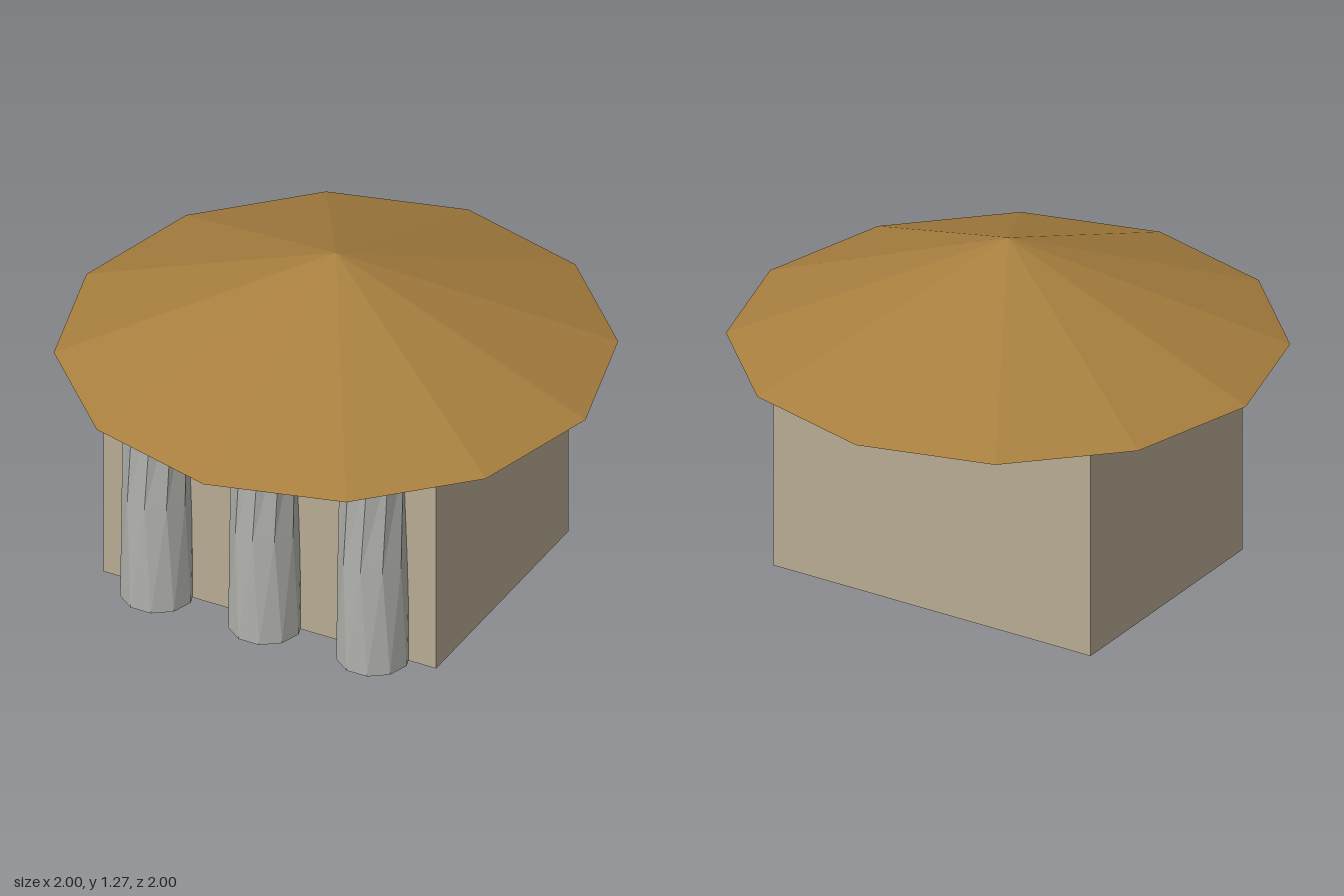
import * as THREE from 'three';

const WALL_H = 0.867;

function material(color) {
  return new THREE.MeshStandardMaterial({ color, flatShading: true });
}

// Ten-sided tapered column, twisted slightly at mid height
function columnGeometry() {
  const geo = new THREE.CylinderGeometry(0.12, 0.1333, WALL_H, 10, 2);
  geo.rotateY(Math.PI / 2); // put corners on the x axis
  const pos = geo.attributes.position;
  const v = new THREE.Vector3();
  const up = new THREE.Vector3(0, 1, 0);
  for (let i = 0; i < pos.count; i++) {
    v.fromBufferAttribute(pos, i);
    const t = v.y / WALL_H + 0.5;
    v.applyAxisAngle(up, -0.2 * Math.sin(Math.PI * t));
    pos.setXYZ(i, v.x, v.y, v.z);
  }
  geo.computeVertexNormals();
  return geo;
}

export function createModel() {
  const model = new THREE.Group();
  model.name = 'hut';

  const add = (name, geometry, mat, x, y, z) => {
    const mesh = new THREE.Mesh(geometry, mat);
    mesh.name = name;
    mesh.position.set(x, y, z);
    model.add(mesh);
  };

  // Solid rectangular walls
  add('walls', new THREE.BoxGeometry(1.333, WALL_H, 1), material(0xb8ab93), 0, WALL_H / 2, 0);

  // Wide twelve-sided conical roof
  add('roof', new THREE.ConeGeometry(1, 0.4, 12), material(0xa87f3f), 0, WALL_H + 0.2, 0);

  // Row of columns half sunk into the front wall
  const columnGeo = columnGeometry();
  const stone = material(0xb0b0ac);
  ['rightColumn', 'middleColumn', 'leftColumn'].forEach((name, i) => {
    add(name, columnGeo, stone, (i - 1) * 0.433, WALL_H / 2, 0.533);
  });

  return model;
}
